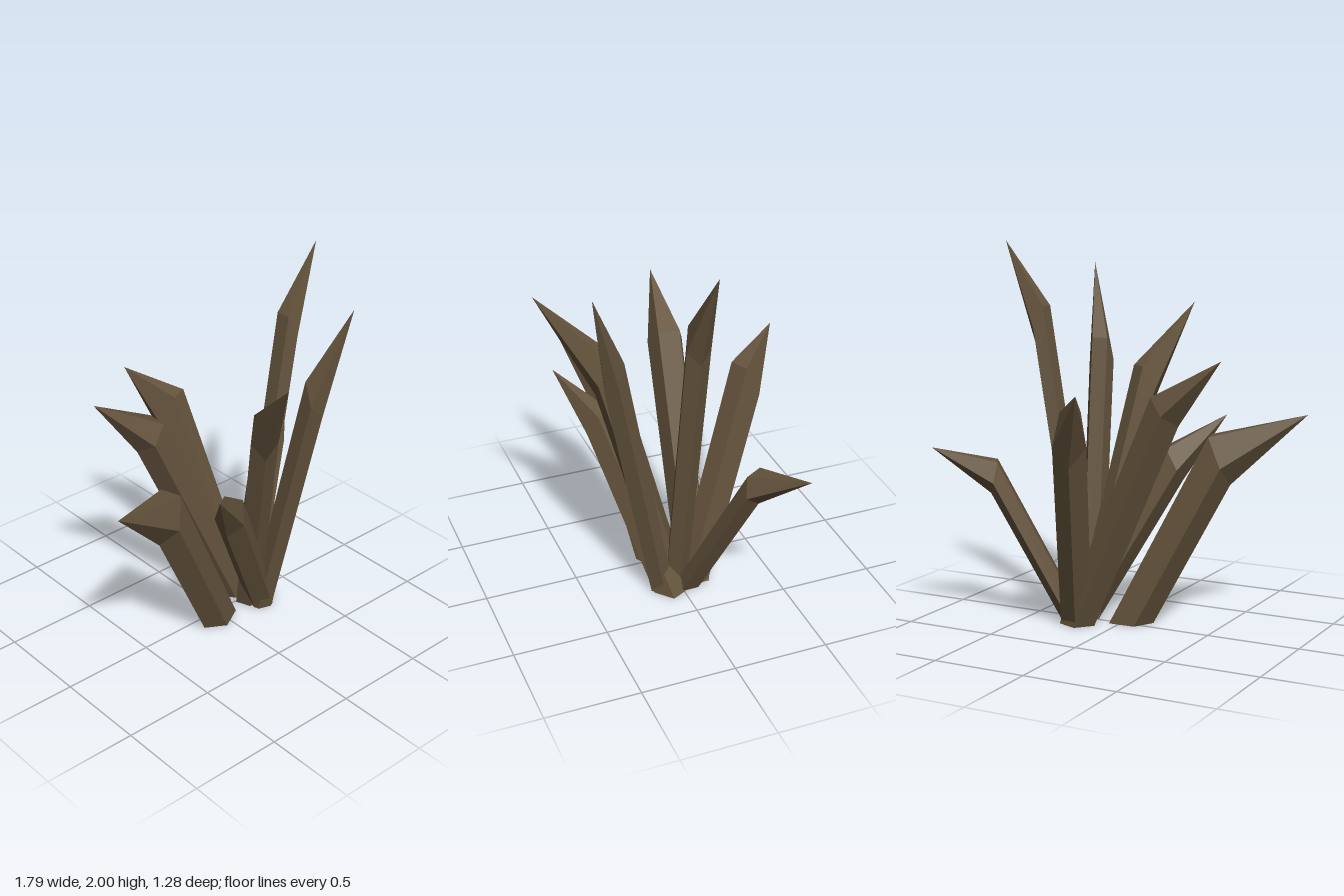
import * as THREE from 'three';

const SIDES = 5;
const V = (a) => new THREE.Vector3(...a);

// A five-sided shaft cut level at the ground, with a slanted shoulder ring and a point.
// half: shoulder half-size across, inward (towards the clump) and upward.
function spikeGeometry({ base, shoulder, tip, half }) {
  const b = V(base), s = V(shoulder), t = V(tip);
  const [across, inward, up] = half;
  const lean = new THREE.Vector3(s.x - b.x, 0, s.z - b.z);
  const slope = lean.length() / (s.y - b.y);
  lean.normalize();
  const side = new THREE.Vector3(lean.z, 0, -lean.x);
  const ring = (c, w, d, h) => Array.from({ length: SIDES }, (_, k) => {
    const a = Math.PI / 2 + (k + 0.5) * 2 * Math.PI / SIDES;
    return c.clone()
      .addScaledVector(side, w * Math.cos(a))
      .addScaledVector(lean, -d * Math.sin(a))
      .add(new THREE.Vector3(0, h * Math.sin(a), 0));
  });
  const top = ring(s, across, inward, up);
  const foot = ring(b, across * 0.95, (inward + up * slope) * 0.95, 0);

  const points = [];
  for (let k = 0; k < SIDES; k++) {
    const n = (k + 1) % SIDES;
    points.push(foot[k], foot[n], top[n], foot[k], top[n], top[k]); // shaft
    points.push(top[k], top[n], t); // point
    points.push(b, foot[n], foot[k]); // underside
  }
  const geometry = new THREE.BufferGeometry().setFromPoints(points);
  geometry.computeVertexNormals();
  return geometry;
}

const SPIKES = [
  { name: 'tallSpike', base: [0.22, 0, 0.01], shoulder: [0.48, 1.575, 0.005], tip: [0.685, 2, -0.01], half: [0.068, 0.039, 0.105] },
  { name: 'frontLeftSpike', base: [0.24, 0, 0.1], shoulder: [0.325, 1.38, 0.38], tip: [0.435, 1.87, 0.515], half: [0.07, 0.045, 0.11] },
  { name: 'frontSpike', base: [0.21, 0, 0.02], shoulder: [0.03, 1.24, 0.325], tip: [-0.115, 1.66, 0.64], half: [0.075, 0.05, 0.12] },
  { name: 'rightSpike', base: [0.2, 0, -0.11], shoulder: [-0.33, 1.18, -0.15], tip: [-0.64, 1.44, -0.18], half: [0.1, 0.07, 0.08] },
  { name: 'backSpike', base: [0.22, 0, -0.09], shoulder: [0.06, 1.05, -0.44], tip: [-0.09, 1.29, -0.645], half: [0.09, 0.06, 0.15] },
  { name: 'frontRightSpike', base: [0.27, 0, 0.07], shoulder: [-0.16, 0.83, 0.29], tip: [-0.39, 1.08, 0.47], half: [0.085, 0.05, 0.1] },
  { name: 'outerRightSpike', base: [-0.03, 0, 0.04], shoulder: [-0.48, 0.9, 0.165], tip: [-0.9, 1.13, 0.33], half: [0.1, 0.06, 0.14] },
  { name: 'outerLeftSpike', base: [0.26, 0, -0.05], shoulder: [0.615, 0.785, -0.26], tip: [0.895, 0.935, -0.425], half: [0.093, 0.02, 0.095] },
];

export function createModel() {
  const group = new THREE.Group();
  group.name = 'spikeCluster';
  const brown = new THREE.MeshStandardMaterial({ color: 0x65543d, flatShading: true });
  brown.name = 'brown';
  for (const spike of SPIKES) {
    const mesh = new THREE.Mesh(spikeGeometry(spike), brown);
    mesh.name = spike.name;
    group.add(mesh);
  }
  return group;
}
